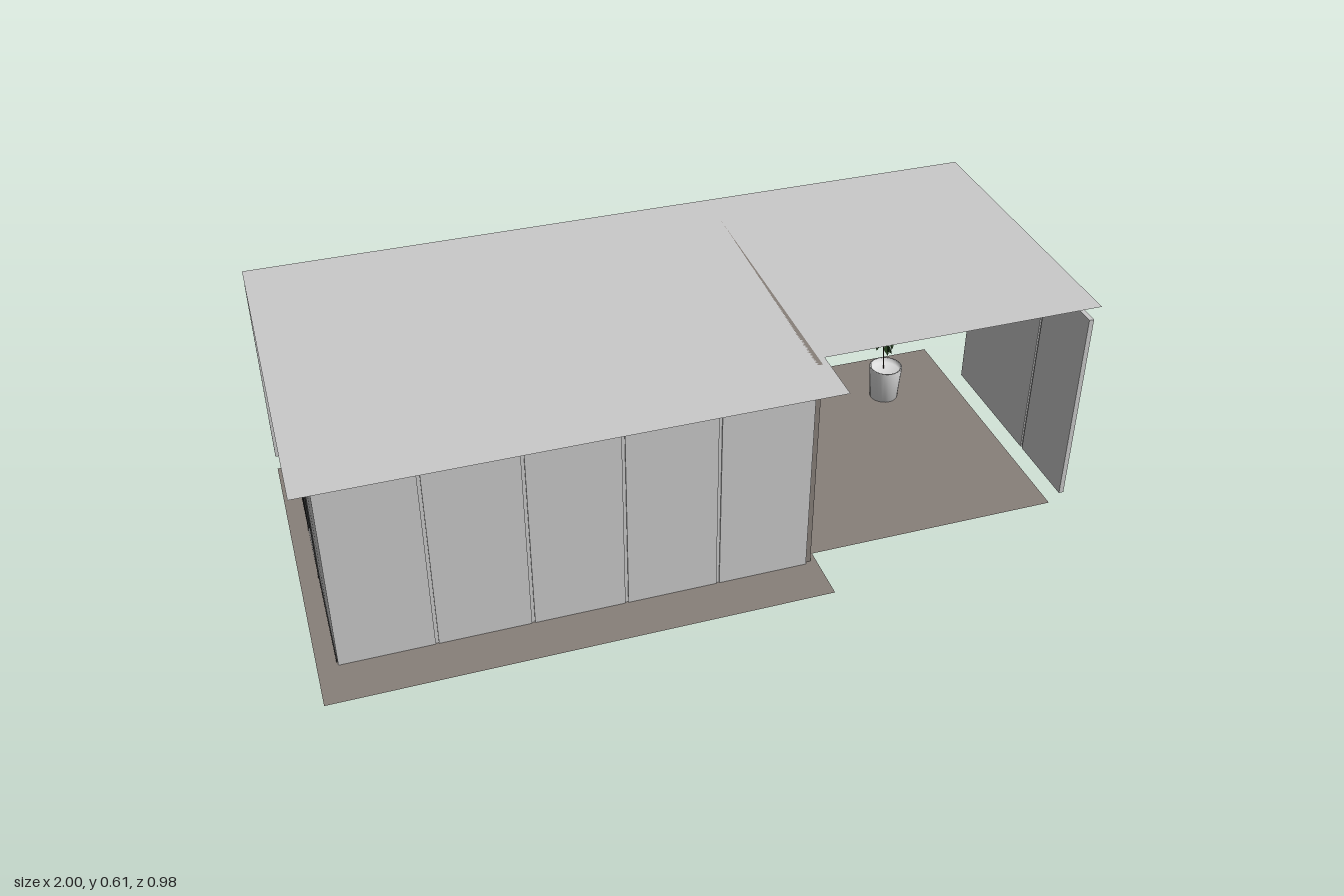
import * as THREE from 'three';
import { mergeGeometries } from 'three/addons/utils/BufferGeometryUtils.js';

const mat = (name, color, side = THREE.FrontSide) => {
  const m = new THREE.MeshStandardMaterial({ color, side });
  m.name = name;
  return m;
};

export function createModel() {
  const group = new THREE.Group();
  const panelGrey = mat('panel grey', 0xcacaca);
  const roofGrey = mat('roof grey', 0xcacaca, THREE.DoubleSide);
  const taupe = mat('taupe', 0x88807a);
  const taupeSheet = mat('taupe floor', 0x88807a, THREE.DoubleSide);
  const dark = mat('dark metal', 0x2c2c2c);
  const potWhite = mat('pot white', 0xdedede);
  const leafGreen = mat('leaf green', 0x24401c, THREE.DoubleSide);
  const stemBrown = mat('stem brown', 0x3a2c1c);

  const add = (name, geo, material, parent = group) => {
    const m = new THREE.Mesh(geo, material);
    m.name = name;
    parent.add(m);
    return m;
  };
  // Box given by its minimum and maximum corners
  const box = (name, x0, x1, y0, y1, z0, z1, material, parent) => {
    const g = new THREE.BoxGeometry(x1 - x0, y1 - y0, z1 - z0);
    g.translate((x0 + x1) / 2, (y0 + y1) / 2, (z0 + z1) / 2);
    return add(name, g, material, parent);
  };
  // L-shaped horizontal sheet
  const sheet = (name, xMax, zMin, y, material) => {
    const pts = [[-1, zMin], [xMax, zMin], [xMax, 0.33], [0.265, 0.33], [0.265, 0.485], [-1, 0.485]];
    const g = new THREE.ShapeGeometry(new THREE.Shape(pts.map(([x, z]) => new THREE.Vector2(x, -z))));
    g.rotateX(-Math.PI / 2).translate(0, y, 0);
    return add(name, g, material);
  };
  // Row of panels along x or z, with recessed joints at the stops
  const panelRow = (name, axis, stops, y0, y1, d0, d1) => {
    const row = new THREE.Group();
    row.name = name;
    group.add(row);
    const put = (part, a, b, e0, e1) => axis === 'x'
      ? box(part, a, b, y0, y1, e0, e1, panelGrey, row)
      : box(part, e0, e1, y0, y1, a, b, panelGrey, row);
    const gap = 0.004, inset = (d1 - d0) * 0.3, last = stops.length - 1;
    for (let i = 0; i < last; i++) {
      put('panel', stops[i] + (i ? gap : 0), stops[i + 1] - (i < last - 1 ? gap : 0), d0, d1);
      if (i) put('joint', stops[i] - gap, stops[i] + gap, d0 + inset, d1 - inset);
    }
  };

  // Roof and floor
  sheet('roof', 1, -0.49, 0.605, roofGrey);
  sheet('floor', 0.945, -0.45, 0, taupeSheet);

  // Walls
  box('terraceWall', 0.235, 0.25, 0, 0.605, -0.44, 0.356, taupe);
  panelRow('frontWall', 'x', [-0.95, -0.713, -0.476, -0.239, -0.002, 0.235], 0, 0.605, 0.352, 0.363);
  panelRow('leftWall', 'z', [-0.44, -0.24, -0.04, 0.16, 0.352], 0, 0.605, -0.95, -0.943);
  panelRow('backScreen', 'x', [-1, -0.676, -0.317, 0.036, 0.755], 0.033, 0.576, -0.475, -0.461);
  panelRow('rightScreen', 'z', [-0.248, 0.125, 0.337], 0.033, 0.576, 0.966, 0.979);

  // Door in the left wall: leaf, dark surround and pull handle
  box('doorLeaf', -0.953, -0.949, 0.004, 0.45, -0.155, 0.035, panelGrey);
  for (const z of [-0.16, 0.035]) box('doorFrameSide', -0.954, -0.949, 0, 0.455, z, z + 0.005, dark);
  box('doorFrameTop', -0.954, -0.949, 0.45, 0.455, -0.16, 0.04, dark);
  box('doorHandle', -0.957, -0.952, 0.15, 0.26, 0.015, 0.021, dark);
  box('leftSill', -0.953, -0.949, 0, 0.007, -0.44, 0.352, dark);

  // Thin upright rod beside the right screen
  box('terraceRod', 0.943, 0.946, 0.21, 0.4, -0.248, -0.245, panelGrey);

  // Potted plant
  const plant = new THREE.Group();
  plant.name = 'pottedPlant';
  plant.position.set(0.728, 0, -0.268);
  group.add(plant);
  const profile = [[0, 0], [0.04, 0], [0.047, 0.1], [0.042, 0.1], [0.041, 0.085], [0, 0.085]];
  add('pot', new THREE.LatheGeometry(profile.map(([x, y]) => new THREE.Vector2(x, y)), 24), potWhite, plant);
  const stem = new THREE.CatmullRomCurve3([[0, 0.08, -0.012], [-0.004, 0.2, -0.022], [0.004, 0.32, -0.028], [-0.006, 0.45, -0.035]]
    .map((p) => new THREE.Vector3(...p)));
  add('stem', new THREE.TubeGeometry(stem, 12, 0.0018, 5), stemBrown, plant);

  // Folded diamond leaves spread around the stem
  let seed = 11;
  const rnd = () => (seed = (seed * 16807) % 2147483647) / 2147483647;
  const leafGeo = () => {
    const g = new THREE.BufferGeometry();
    const l = 0.03 + rnd() * 0.018, w = 0.008 + rnd() * 0.004;
    g.setAttribute('position', new THREE.Float32BufferAttribute([
      0, 0, 0, w, 0.004, l * 0.45, 0, -0.004, l,
      0, 0, 0, 0, -0.004, l, -w, 0.004, l * 0.45], 3));
    g.computeVertexNormals();
    return g;
  };
  const leaves = [];
  for (let i = 0; i < 105; i++) {
    const t = rnd(), y = 0.17 + t * 0.27, a = i * 2.4;
    const r = (0.012 + 0.038 * rnd()) * (1.1 - 0.5 * Math.abs(t - 0.4));
    const g = leafGeo();
    g.rotateZ((rnd() - 0.5) * 2).rotateX((rnd() - 0.35) * 1.7).rotateY(a + (rnd() - 0.5) * 1.5);
    g.translate(-0.004 + Math.sin(a) * r, y, -0.028 + Math.cos(a) * r);
    leaves.push(g);
  }
  add('leaves', mergeGeometries(leaves), leafGreen, plant);

  return group;
}
